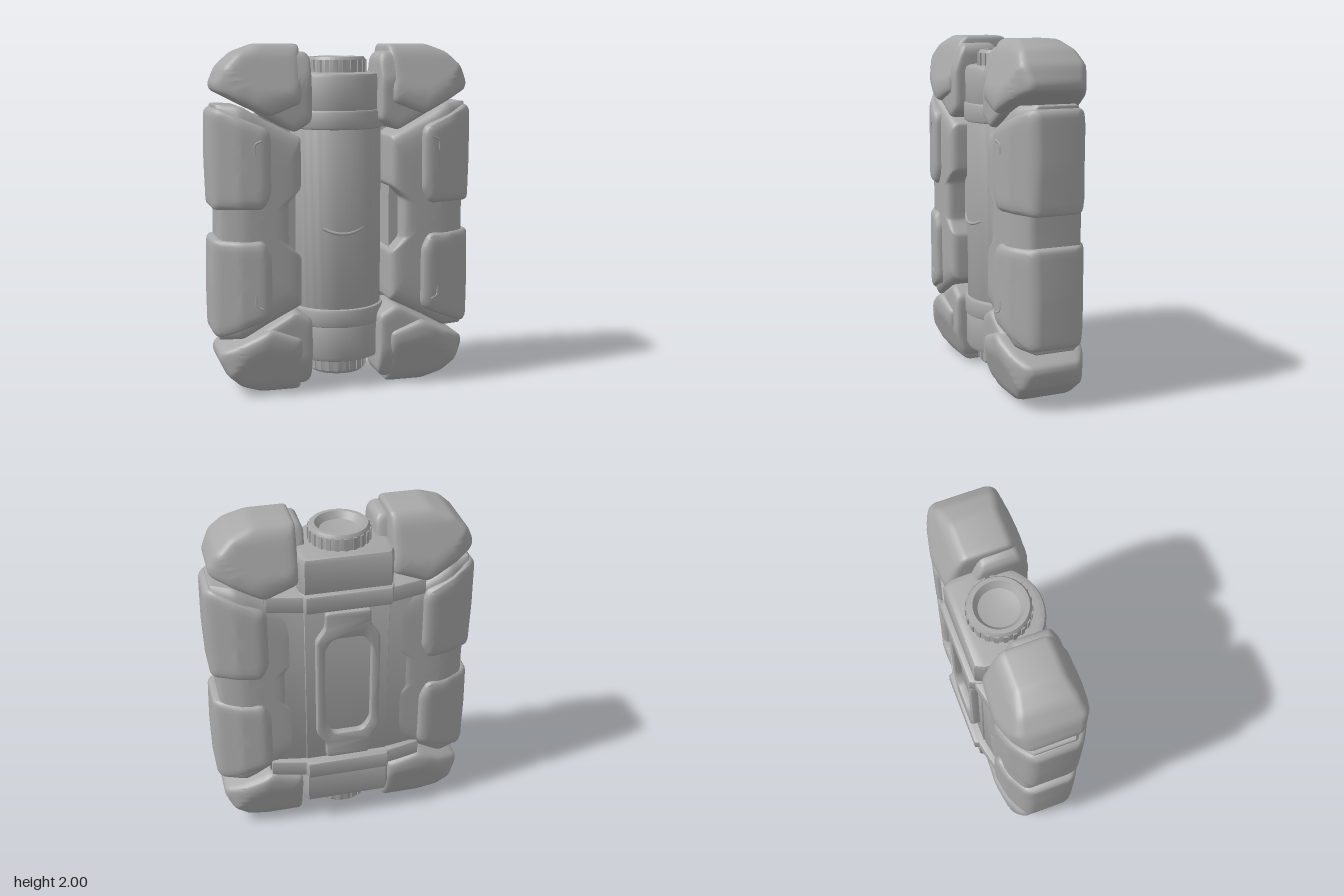
import * as THREE from 'three';
import { toCreasedNormals, mergeVertices } from 'three/addons/utils/BufferGeometryUtils.js';

const V2 = (x, y) => new THREE.Vector2(x, y);

// piecewise linear lookup
function lerpTable(t, v) {
  if (v <= t[0][0]) return t[0][1];
  for (let i = 1; i < t.length; i++) {
    if (v <= t[i][0]) return THREE.MathUtils.mapLinear(v, t[i - 1][0], t[i][0], t[i - 1][1], t[i][1]);
  }
  return t[t.length - 1][1];
}

// half thickness across the width, and towards the two ends
const acrossX = (x) => lerpTable([[0.25, 0.234], [0.5, 0.248], [0.62, 0.222], [0.74, 0.155], [0.78, 0.115]], Math.abs(x));
const towardsEnd = (y) => lerpTable([[1.6, 0.25], [1.72, 0.245], [1.94, 0.17], [2, 0.132]], 1 + Math.abs(y - 1));

// outline with rounded corners and subdivided edges
function roundOutline(pts, r) {
  const out = [];
  pts.forEach((p, i) => {
    const prev = pts[(i + pts.length - 1) % pts.length], next = pts[(i + 1) % pts.length];
    const cut = (q) => p.clone().lerp(q, Math.min(r / p.distanceTo(q), 0.4));
    const a = cut(prev), b = cut(next);
    for (let k = 0; k <= 3; k++) {
      const t = k / 3;
      out.push(a.clone().lerp(p, t).lerp(p.clone().lerp(b, t), t));
    }
    const end = next.clone().lerp(p, Math.min(r / p.distanceTo(next), 0.4));
    for (let k = 1; k < 6; k++) out.push(b.clone().lerp(end, k / 6));
  });
  return out;
}

// padded block: rings of the outline from the front centre around to the back centre
const RINGS = [[0, 1], [0.25, 1], [0.45, 1], [0.62, 1], [0.76, 1], [0.87, 0.985], [0.94, 0.95], [0.98, 0.88], [1, 0.78]];
function chunk(points, sx, sy, { centre, mid = 0.025, half, r = 0.03 }) {
  const map = (p) => V2(p[0] * sx, 1 + (p[1] - 1) * sy);
  let pts = points.map(map);
  if (sx * sy < 0) pts.reverse();
  pts = roundOutline(pts, r);
  const c = map(centre), n = pts.length, pos = [], idx = [];
  const rings = [...RINGS, ...RINGS.map(([s, z]) => [s, -z]).reverse()];
  for (const [s, zf] of rings) {
    for (const p of pts) {
      const q = c.clone().lerp(p, s);
      pos.push(q.x, q.y, mid + zf * half(q.x, q.y));
    }
  }
  const last = rings.length - 2;
  for (let k = 0; k <= last; k++) {
    for (let j = 0; j < n; j++) {
      const a = k * n + j, d = k * n + (j + 1) % n, b = a + n, e = d + n;
      if (k < last) idx.push(a, b, e);
      if (k === last) idx.push(a, b, d);
      else if (k > 0) idx.push(a, e, d);
    }
  }
  const g = new THREE.BufferGeometry();
  g.setAttribute('position', new THREE.Float32BufferAttribute(pos, 3));
  g.setIndex(idx);
  return toCreasedNormals(mergeVertices(g), 0.6);
}

// upright prism from a plan outline of (x, -z) points
function prism(shape, y0, y1, bevel) {
  const g = new THREE.ExtrudeGeometry(shape, {
    depth: y1 - y0 - 2 * bevel, bevelThickness: bevel, bevelSize: bevel, bevelOffset: -bevel, bevelSegments: 2,
  });
  g.rotateX(-Math.PI / 2).translate(0, y0 + bevel, 0);
  return toCreasedNormals(g, 0.5);
}

// body plan: round in front, chamfered box behind
function bodyPlan(R, back) {
  const s = new THREE.Shape();
  s.moveTo(R, 0.05);
  for (let i = 1; i <= 32; i++) {
    const a = Math.PI * i / 32;
    s.lineTo(R * Math.cos(a), 0.05 - R * Math.sin(a));
  }
  s.lineTo(-0.265, -back - 0.05);
  s.lineTo(-0.24, -back);
  s.lineTo(0.24, -back);
  s.lineTo(0.265, -back - 0.05);
  s.closePath();
  return s;
}

export function createModel() {
  const grey = new THREE.MeshStandardMaterial({ color: 0xa8a8a8 });
  const model = new THREE.Group();
  const add = (name, geo, parent = model) => {
    const m = new THREE.Mesh(geo, grey);
    m.name = name;
    parent.add(m);
    return m;
  };
  const box = (w, h, d, x, y, z) => new THREE.BoxGeometry(w, h, d).translate(x, y, z);

  // central canister, with a back panel sloping out to the sides
  add('canister', prism(bodyPlan(0.27, -0.212), 0.42, 1.58, 0.005));
  const plan = (half, back, sideBack) => new THREE.Shape([
    [-half, 0.05], [half, 0.05], [half, sideBack], [0.26, back], [-0.26, back], [-half, sideBack],
  ].map((p) => V2(...p)));
  add('backPanel', prism(plan(0.46, 0.205, 0.17), 0.4, 1.6, 0.005));
  for (const sy of [1, -1]) {
    const span = (a, b) => (sy > 0 ? [a, b] : [2 - b, 2 - a]);
    add('canisterLip', prism(bodyPlan(0.287, -0.272), ...span(1.52, 1.63), 0.015));
    add('canisterEnd', prism(bodyPlan(0.278, -0.24), ...span(1.6, 1.84), 0.03));
    add('backStrap', prism(plan(0.45, 0.245, 0.2), ...span(1.52, 1.62), 0.012));

    // ribbed screw cap with a dished face
    const cap = new THREE.Group();
    cap.name = 'screwCap';
    cap.position.set(0, 1, -0.015);
    cap.rotation.x = sy > 0 ? 0 : Math.PI;
    const profile = [[0.17, 0.8], [0.17, 0.91], [0.158, 0.928], [0.135, 0.928], [0.11, 0.89], [0, 0.87]];
    add('capBody', toCreasedNormals(new THREE.LatheGeometry(profile.map((p) => V2(...p)), 40), 0.6), cap);
    for (let i = 0; i < 22; i++) {
      add('capRib', box(0.024, 0.07, 0.02, 0, 0.875, 0.166).rotateY(i / 22 * Math.PI * 2), cap);
    }
    model.add(cap);
  }

  // curved ridge on the canister front
  const ridge = [];
  for (let i = -4; i <= 4; i++) {
    const x = i * 0.03;
    ridge.push(new THREE.Vector3(x - 0.015, 0.925 + x * x * 2.2, -0.05 + Math.sqrt(0.27 ** 2 - x * x)));
  }
  add('frontRidge', new THREE.TubeGeometry(new THREE.CatmullRomCurve3(ridge), 24, 0.009, 8));

  // back handle frame
  const frame = new THREE.Shape(roundOutline([
    [-0.13, 0.5], [0.13, 0.5], [0.13, 0.6], [0.185, 0.68], [0.185, 1.32], [0.13, 1.4],
    [0.13, 1.5], [-0.13, 1.5], [-0.13, 1.4], [-0.185, 1.32], [-0.185, 0.68], [-0.13, 0.6],
  ].map((p) => V2(...p)), 0.02));
  frame.holes.push(new THREE.Path(roundOutline([
    [-0.135, 0.74], [-0.09, 0.67], [0.09, 0.67], [0.135, 0.74],
    [0.135, 1.26], [0.09, 1.33], [-0.09, 1.33], [-0.135, 1.26],
  ].map((p) => V2(...p)), 0.03)));
  const handle = new THREE.ExtrudeGeometry(frame, {
    depth: 0.04, bevelThickness: 0.012, bevelSize: 0.012, bevelOffset: -0.012, bevelSegments: 2,
  });
  add('backHandle', toCreasedNormals(handle.translate(0, 0, -0.243), 0.6));

  for (const sx of [1, -1]) {
    // side housing with a notch on its inner edge
    add('sideHousing', chunk([
      [0.262, 0.52], [0.46, 0.42], [0.6, 0.34], [0.735, 0.33], [0.725, 1], [0.735, 1.67], [0.6, 1.66],
      [0.46, 1.58], [0.262, 1.48], [0.262, 1.2], [0.335, 1.12], [0.335, 0.88], [0.262, 0.8],
    ], sx, 1, { centre: [0.57, 1], mid: 0.022, half: (x) => Math.min(0.216, acrossX(x) - 0.02), r: 0.015 }));
    add('notchLiner', box(0.34, 0.5, 0.25, sx * 0.45, 1, 0));

    for (const sy of [1, -1]) {
      // inner rail beside the canister end
      add('innerRail', chunk([
        [0.2, 1.57], [0.3, 1.51], [0.5, 1.62], [0.5, 1.95], [0.23, 1.96], [0.2, 1.92],
      ], sx, sy, { centre: [0.35, 1.72], mid: 0.075, half: (x, y) => Math.min(0.158, towardsEnd(y) - 0.06) }));

      // corner bumper
      add('cornerBumper', chunk([
        [0.26, 1.67], [0.45, 1.6], [0.73, 1.74], [0.74, 1.78], [0.7, 1.87], [0.61, 1.955], [0.49, 2], [0.26, 2],
      ], sx, sy, { centre: [0.47, 1.8], mid: 0.02, half: (x, y) => Math.min(acrossX(x), towardsEnd(y)), r: 0.025 }));

      // side pad wrapping the housing
      add('sidePad', chunk([
        [0.44, 1.17], [0.485, 1.085], [0.765, 1.085], [0.775, 1.35], [0.77, 1.63], [0.73, 1.655],
        [0.46, 1.54], [0.44, 1.5],
      ], sx, sy, { centre: [0.61, 1.34], half: (x) => acrossX(x) + 0.002 }));

      // short crease on the pad front
      const crease = [[0.5, 1.475], [0.535, 1.455], [0.54, 1.4]].map(([x, y]) =>
        new THREE.Vector3(sx * x, 1 + sy * (y - 1), 0.024 + acrossX(x)));
      add('padCrease', new THREE.TubeGeometry(new THREE.CatmullRomCurve3(crease), 10, 0.007, 6));
    }
  }
  return model;
}
